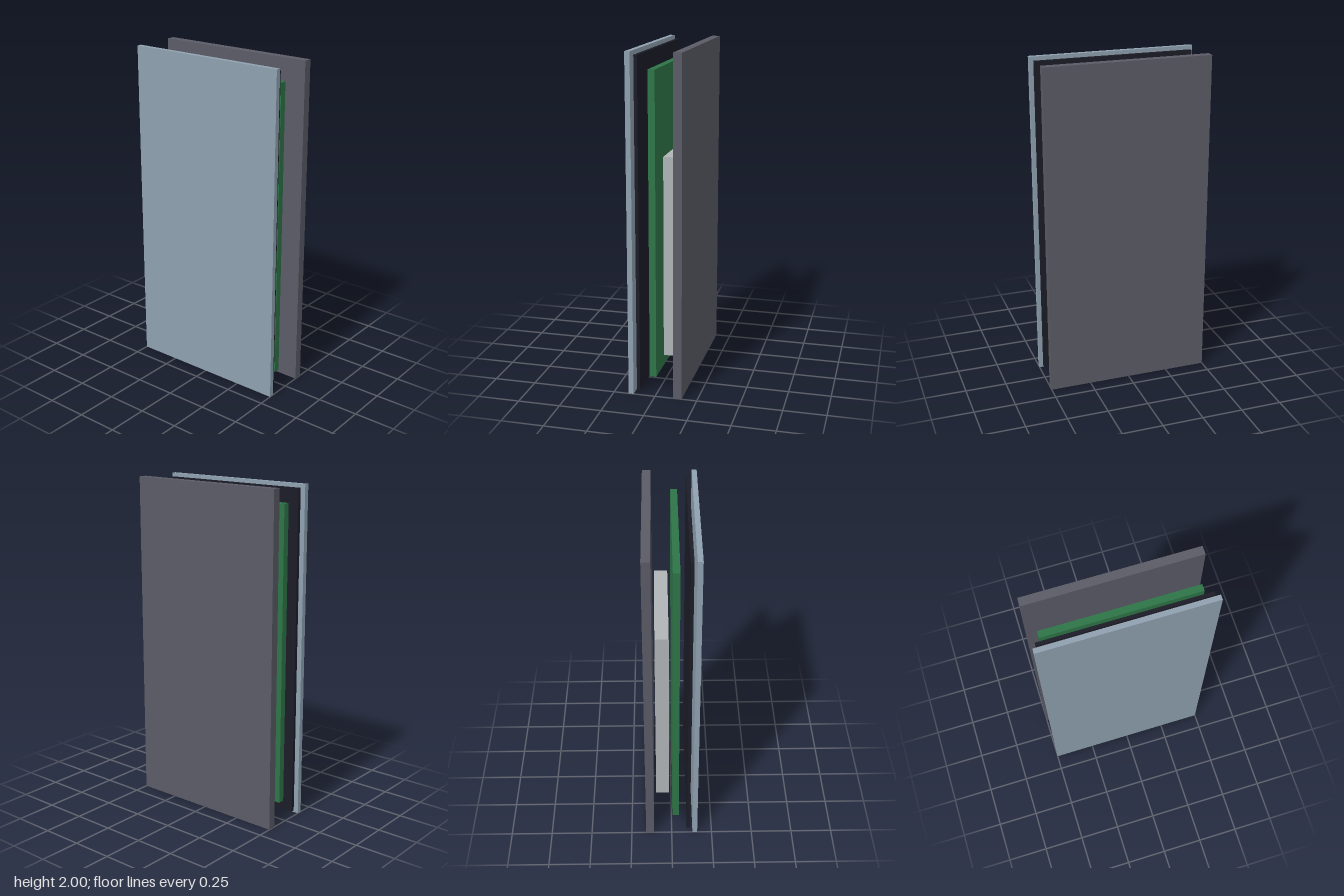
import * as THREE from 'three';

export function createModel() {
  const group = new THREE.Group();
  group.name = 'explodedSlabDevice';

  const material = (name, color) => {
    const m = new THREE.MeshStandardMaterial({ color });
    m.name = name;
    return m;
  };

  // Flat layers from front to back: name, material, width, height, depth, centre z
  const layers = [
    ['frontGlass', material('blueGreyGlass', 0x8fa1b0), 1.0, 2.0, 0.03, 0.145],
    ['displayPanel', material('nearBlack', 0x1c1c28), 0.96, 1.96, 0.02, 0.105],
    ['circuitBoard', material('boardGreen', 0x2e7548), 0.9, 1.8, 0.04, 0.025],
    ['battery', material('lightGrey', 0xb0b5b8), 0.7, 1.2, 0.08, -0.055],
    ['backCover', material('darkGrey', 0x5a5b66), 1.0, 2.0, 0.05, -0.135],
  ];

  for (const [name, mat, w, h, d, z] of layers) {
    const mesh = new THREE.Mesh(new THREE.BoxGeometry(w, h, d), mat);
    mesh.name = name;
    // The battery sits lower on the board than the other layers' centres
    mesh.position.set(0, name === 'battery' ? 0.8 : 1, z);
    group.add(mesh);
  }
  return group;
}
